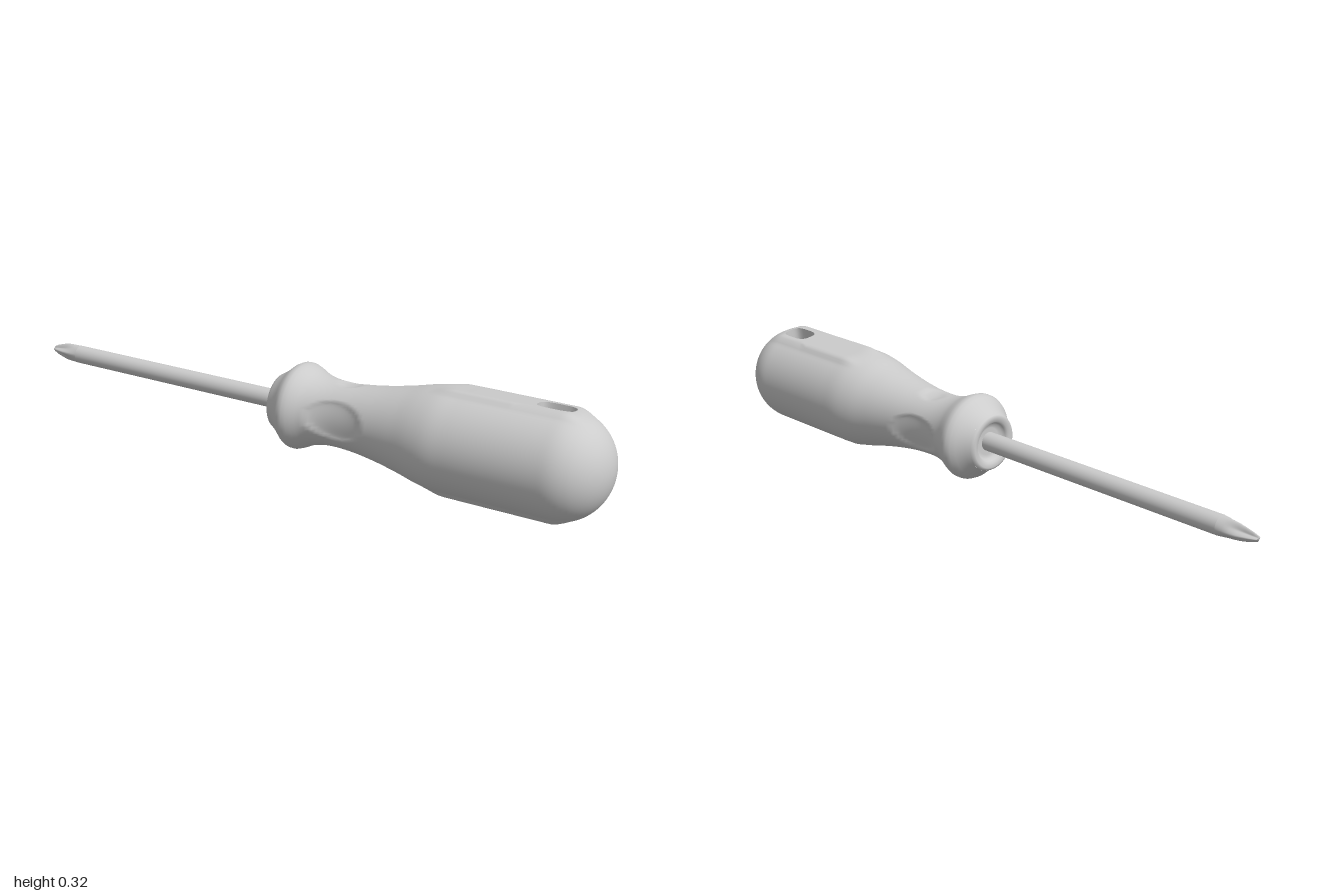
import * as THREE from 'three';

const N = 112;            // segments around the handle
const STEP = 0.0125;      // ring spacing along the handle
const HOLE_X = 0.82, PATCH = 8, RIM = 4;   // hanging hole, in grid cells
const AXIS_Y = 0.159, TILT = -0.13;

const material = new THREE.MeshStandardMaterial({ color: 0xcccccc });
const twoSided = new THREE.MeshStandardMaterial({ color: 0xcccccc, side: THREE.DoubleSide });
const { smoothstep, lerp } = THREE.MathUtils;

function surface(positions, index) {
  const g = new THREE.BufferGeometry();
  g.setAttribute('position', new THREE.Float32BufferAttribute(positions, 3));
  g.setIndex(index);
  g.computeVertexNormals();
  return g;
}

// Joins closed rings of n points into quads
function ringIndex(rings, n, skip = () => false) {
  const index = [];
  for (let i = 0; i < rings - 1; i++) for (let j = 0; j < n; j++) {
    if (skip(i, j)) continue;
    const k = (j + 1) % n;
    const a = i * n + j, b = i * n + k, c = a + n, d = b + n;
    index.push(a, b, c, b, d, c);
  }
  return index;
}

// Handle radius along its length
const profile = new THREE.CubicInterpolant(
  [-0.055, -0.03, 0, 0.015, 0.035, 0.07, 0.12, 0.2, 0.29, 0.38, 0.45, 0.5, 0.56, 0.7, 0.86],
  [0.09, 0.106, 0.13, 0.134, 0.128, 0.112, 0.101, 0.101, 0.112, 0.13, 0.147, 0.155, 0.156, 0.156, 0.156], 1);

function baseRadius(x) {
  if (x > 0.855) return 0.156 * Math.sqrt(Math.max(0, 1 - ((x - 0.855) / 0.145) ** 2));
  return profile.evaluate(x)[0];
}

// Point on the handle; t = 0 is the top
function handlePoint(x, t) {
  let r = baseRadius(x);
  // flat pads along the top and bottom
  const fromPole = Math.abs(Math.atan(Math.tan(t)));
  const pad = smoothstep(x, 0.46, 0.54) * (1 - smoothstep(x, 0.86, 0.93)) * (1 - smoothstep(fromPole, 0.3, 0.48));
  r *= 1 + pad * (1 / Math.cos(Math.min(fromPole, 0.5)) - 1);
  // finger dents: large on the sides, small on the top and bottom
  const dent = (angle, w, h) => Math.max(0, 1 - ((x - 0.18) / w) ** 2 - (angle / h) ** 2);
  r -= 0.014 * Math.sqrt(dent(Math.PI / 2 - fromPole, 0.095, 0.6));
  r -= 0.006 * Math.sqrt(dent(fromPole, 0.04, 0.36));
  return [x, r * Math.cos(t), r * Math.sin(t)];
}

// Rounded slot outline in direction (u, v)
function slot(u, v) {
  const p = 3.2, k = (Math.abs(u) ** p + Math.abs(v) ** p) ** (-1 / p);
  return [0.054 * u * k, 0.034 * v * k];
}

// Grid point pulled towards the slot outline near the hole
function warped(i, j, x) {
  const holeRing = 70;
  const side = Math.abs(j) <= N / 4 ? 0 : Math.PI;
  const u = i - holeRing;
  const v = side ? (j > 0 ? N / 2 - j : -N / 2 - j) : j;
  const m = Math.max(Math.abs(u), Math.abs(v));
  let t = v * 2 * Math.PI / N;
  if (m > 0 && m < PATCH) {
    const [sx, sz] = slot(u, v);
    const f = Math.min(1, (PATCH - m) / (PATCH - RIM));
    x = lerp(x, HOLE_X + sx, f);
    t = lerp(t, Math.atan(sz / 0.156), f);
  }
  const p = handlePoint(x, t);
  return side ? [p[0], -p[1], p[2]] : p;
}

function handleGeometry() {
  const xs = [];
  for (let i = 0; i <= 78; i++) xs.push(HOLE_X + (i - 70) * STEP);
  const a0 = Math.asin(0.065 / 0.145);
  for (let i = 1; i <= 16; i++) xs.push(0.855 + 0.145 * Math.sin(lerp(a0, Math.PI / 2, i / 16)));
  const pos = [];
  xs.forEach((x, i) => {
    for (let j = 0; j < N; j++) pos.push(...warped(i, j <= N / 2 ? j : j - N, x));
  });
  const inHole = (i, j) => {
    const c = (j + 0.5) % (N / 2);
    return Math.abs(i + 0.5 - 70) < RIM && Math.min(c, N / 2 - c) < RIM;
  };
  return surface(pos, ringIndex(xs.length, N, inHole));
}

// Wall of the hole, running from the top rim to the bottom rim
function holeGeometry() {
  const rim = [];
  for (let k = -RIM; k < RIM; k++) rim.push([k, -RIM]);
  for (let k = -RIM; k < RIM; k++) rim.push([RIM, k]);
  for (let k = RIM; k > -RIM; k--) rim.push([k, RIM]);
  for (let k = RIM; k > -RIM; k--) rim.push([-RIM, k]);
  const top = rim.map(([u, v]) => warped(70 + u, v, HOLE_X + u * STEP));
  const bottom = top.map(([x, y, z]) => [x, -y, z]);
  return surface([...top, ...bottom].flat(), ringIndex(2, rim.length));
}

// Cross-shaped tip: rings with four grooves that deepen towards the point
function tipGeometry() {
  const n = 48, pos = [];
  const rings = [[-1, 0, 0], [-1, 0.009, 0.35], [-0.985, 0.016, 0.5], [-0.965, 0.022, 0.5],
    [-0.945, 0.027, 0.42], [-0.925, 0.029, 0.25], [-0.905, 0.029, 0.1], [-0.885, 0.029, 0]];
  for (const [x, r, depth] of rings) for (let j = 0; j < n; j++) {
    const t = j * 2 * Math.PI / n;
    const q = r * (1 - depth * Math.abs(Math.sin(2 * t)) ** 1.2);
    pos.push(x, q * Math.cos(t), q * Math.sin(t));
  }
  return surface(pos, ringIndex(rings.length, n));
}

export function createModel() {
  const model = new THREE.Group();
  model.name = 'screwdriver';
  const tool = new THREE.Group();
  tool.name = 'tool';
  tool.position.y = AXIS_Y;
  tool.rotation.x = TILT;
  model.add(tool);

  const add = (name, geometry, mat = material) => {
    const mesh = new THREE.Mesh(geometry, mat);
    mesh.name = name;
    tool.add(mesh);
    return mesh;
  };

  add('handle', handleGeometry());
  add('hangingHole', holeGeometry(), twoSided);

  // Front face of the collar, with a shallow recess around the shaft
  const face = [[0.09, -0.055], [0.086, -0.062], [0.079, -0.065], [0.066, -0.063], [0.06, -0.056],
    [0.055, -0.046], [0.042, -0.044], [0.02, -0.044]].map(([r, x]) => new THREE.Vector2(r, -x));
  add('collarFace', new THREE.LatheGeometry(face, 64), twoSided).rotation.z = Math.PI / 2;

  // Shaft
  const shaft = add('shaft', new THREE.CylinderGeometry(0.029, 0.029, 0.855, 48, 1, true));
  shaft.rotation.z = Math.PI / 2;
  shaft.position.x = -0.4575;
  add('crossTip', tipGeometry());

  return model;
}
